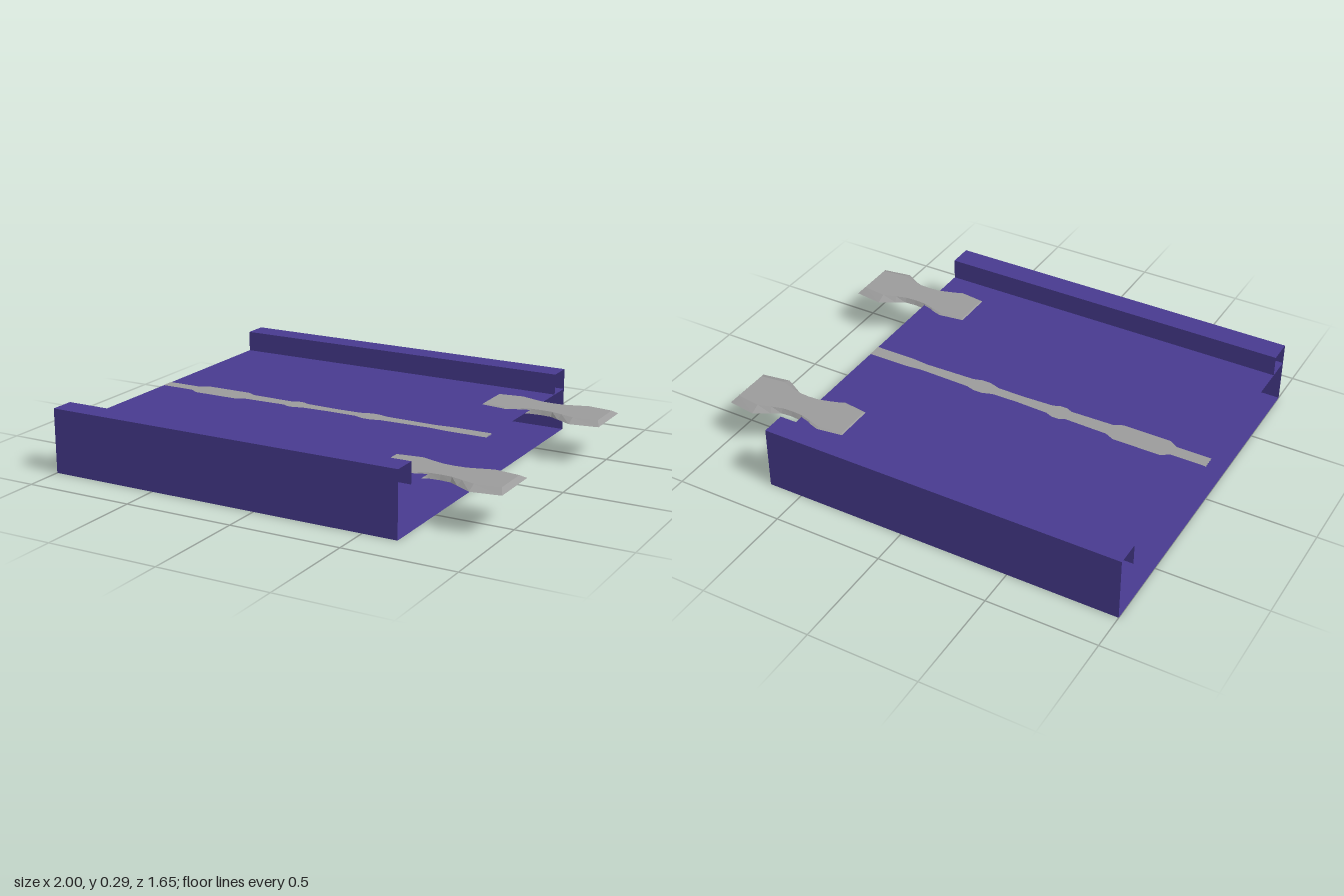
import * as THREE from 'three';

const purple = new THREE.MeshStandardMaterial({ color: 0x483b90, side: THREE.DoubleSide });
purple.name = 'purple panel';
const grey = new THREE.MeshStandardMaterial({ color: 0x9c9c9c, side: THREE.DoubleSide, flatShading: true });
grey.name = 'grey metal';

const X0 = -1, X1 = 0.657, SIDE = 0.827, RAIL = 0.717, TOP = 0.29, DECK = 0.195;

function add(parent, name, geometry, material) {
  const mesh = new THREE.Mesh(geometry, material);
  mesh.name = name;
  parent.add(mesh);
  return mesh;
}

// thin sheet spanning the full length between two [y, z] edges
function sheet([y0, z0], [y1, z1]) {
  const g = new THREE.BufferGeometry();
  g.setAttribute('position', new THREE.Float32BufferAttribute(
    [X0, y0, z0, X1, y0, z0, X1, y1, z1, X0, y1, z1], 3));
  g.setIndex([0, 1, 2, 0, 2, 3]);
  g.computeVertexNormals();
  return g;
}

// bevelled bow-tie plate lofted along x from four-sided sections
function connectorGeometry() {
  // [distance from waist, lower half width, upper half width, upper distance]
  const half = [[0, 0.073, 0.062, 0], [0.05, 0.077, 0.065, 0.05], [0.09, 0.1, 0.079, 0.1],
    [0.16, 0.14, 0.098, 0.16], [0.29, 0.12, 0.083, 0.272]];
  const stations = [...half.slice(1).reverse().map(([d, b, t, e]) => [-d, b, t, -e]), ...half];
  const rings = stations.map(([d, b, t, e]) => [
    [d, 0.18, b], [d, 0.18, -b], [e, 0.2, -t], [e, 0.2, t]]);
  const pos = [];
  const quad = (a, b, c, d) => pos.push(...a, ...b, ...c, ...a, ...c, ...d);
  for (let i = 0; i < rings.length - 1; i++) {
    for (let j = 0; j < 4; j++) {
      const k = (j + 1) % 4;
      quad(rings[i][j], rings[i][k], rings[i + 1][k], rings[i + 1][j]);
    }
  }
  quad(...rings[rings.length - 1]);
  quad(...[...rings[0]].reverse());
  const g = new THREE.BufferGeometry();
  g.setAttribute('position', new THREE.Float32BufferAttribute(pos, 3));
  g.computeVertexNormals();
  return g;
}

// centre strip outline, mirrored across the x axis
function stripGeometry() {
  const edge = [[X0, 0.03], [-0.84, 0.03], [-0.8, 0.055], [-0.58, 0.055], [-0.54, 0.035],
    [-0.34, 0.03], [-0.315, 0.043], [-0.28, 0.043], [-0.25, 0.03], [-0.1, 0.024], [0.02, 0.026],
    [0.07, 0.042], [0.11, 0.042], [0.15, 0.03], [0.39, 0.024], [0.47, 0.032], [X1, 0.032]];
  const outline = [...edge, ...[...edge].reverse().map(([x, w]) => [x, -w])];
  const g = new THREE.ShapeGeometry(new THREE.Shape(outline.map(p => new THREE.Vector2(...p))));
  return g.rotateX(-Math.PI / 2);
}

export function createModel() {
  const model = new THREE.Group();
  model.name = 'trackPanel';

  // open-ended shell
  add(model, 'floor', sheet([0, SIDE], [0, -SIDE]), purple);
  add(model, 'deck', sheet([DECK, SIDE], [DECK, -SIDE]), purple);
  for (const s of [1, -1]) {
    const label = s > 0 ? 'front' : 'back';
    const [a, b] = s > 0 ? [0, TOP] : [TOP, 0];
    add(model, label + 'Wall', sheet([a, s * SIDE], [b, s * SIDE]), purple);
    add(model, label + 'RailTop', sheet([TOP, s > 0 ? SIDE : -RAIL], [TOP, s > 0 ? RAIL : -SIDE]), purple);
    add(model, label + 'RailInner', sheet(
      [s > 0 ? TOP : DECK, s * RAIL], [s > 0 ? DECK : TOP, s * RAIL]), purple);
  }

  // strip faces above and below the deck
  for (const s of [1, -1]) {
    const strip = add(model, s > 0 ? 'centreStrip' : 'centreStripUnderside', stripGeometry(), grey);
    strip.position.y = DECK + s * 0.0015;
  }

  // joining plates set through the deck
  for (const s of [1, -1]) {
    const plate = add(model, s > 0 ? 'frontConnector' : 'backConnector', connectorGeometry(), grey);
    plate.position.set(0.71, 0, s * 0.505);
  }
  return model;
}
